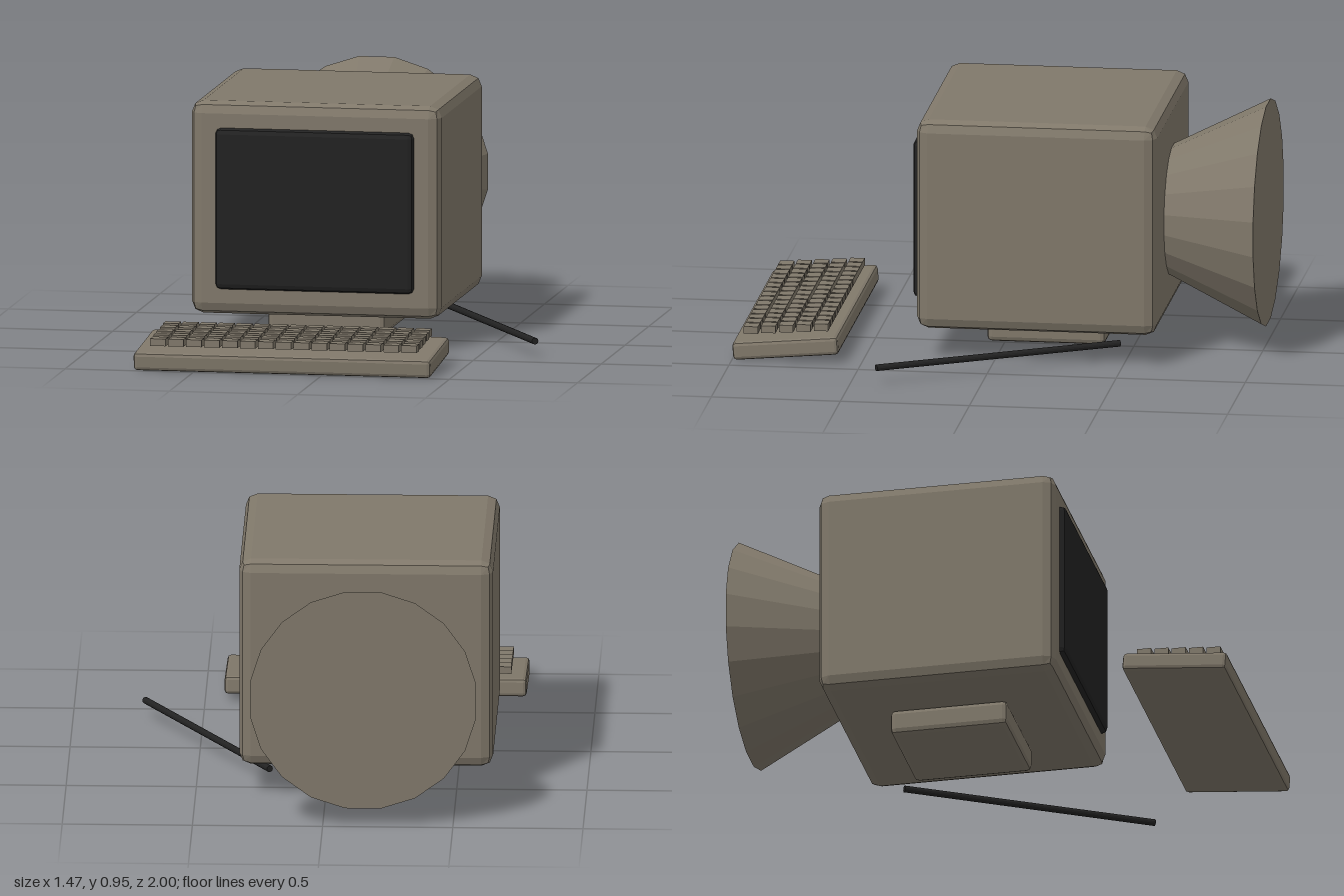
import * as THREE from 'three';
import { RoundedBoxGeometry } from 'three/addons/geometries/RoundedBoxGeometry.js';

const mat = (name, color) => new THREE.MeshStandardMaterial({ name, color, flatShading: true });

export function createModel() {
  const model = new THREE.Group();
  model.name = 'desktopComputer';
  const casing = mat('taupeCasing', 0x80786a);
  const black = mat('softBlack', 0x222222);
  const cx = -0.155; // shared centre line of monitor and keyboard

  const add = (name, geometry, material, x, y, z, parent = model) => {
    const mesh = new THREE.Mesh(geometry, material);
    mesh.name = name;
    mesh.position.set(x, y, z);
    parent.add(mesh);
    return mesh;
  };
  const bevelBox = (w, h, d, r) => new RoundedBoxGeometry(w, h, d, 1, r);

  // Monitor: bevelled cube, raised screen and square foot
  add('monitorCase', bevelBox(0.975, 0.825, 0.93, 0.045), casing, cx, 0.535, -0.165);
  add('screen', bevelBox(0.775, 0.625, 0.05, 0.022), black, cx, 0.535, 0.3);
  add('monitorFoot', bevelBox(0.46, 0.1, 0.46, 0.02), casing, cx, 0.07, -0.17);

  // Flared tube housing, wide end at the back
  const flare = new THREE.CylinderGeometry(0.44, 0.24, 0.4, 20, 1, false, Math.PI / 20);
  flare.rotateX(-Math.PI / 2);
  add('rearFlare', flare, casing, cx, 0.51, -0.8);

  // Keyboard, tilted down toward the front
  const keyboard = new THREE.Group();
  keyboard.name = 'keyboard';
  model.add(keyboard);
  add('keyboardBase', bevelBox(1.16, 0.07, 0.41, 0.014), casing, cx, 0.053, 0.793, keyboard)
    .rotation.x = THREE.MathUtils.degToRad(5);

  // Level keys in rows that step up toward the back
  const keyGeometry = new THREE.BoxGeometry(0.06, 0.028, 0.055);
  for (let row = 0; row < 5; row++) {
    for (let col = 0; col < 15; col++) {
      add('key', keyGeometry, casing,
        cx + (col - 7) * 0.07, 0.108 + row * 0.005, 0.934 - row * 0.068, keyboard);
    }
  }

  // Straight cable running out to the left
  const cable = new THREE.CylinderGeometry(0.013, 0.013, 1.01, 12);
  cable.rotateX(Math.PI / 2);
  add('cable', cable, black, 0.471, 0.068, -0.038).rotation.y = Math.PI / 6;

  return model;
}
